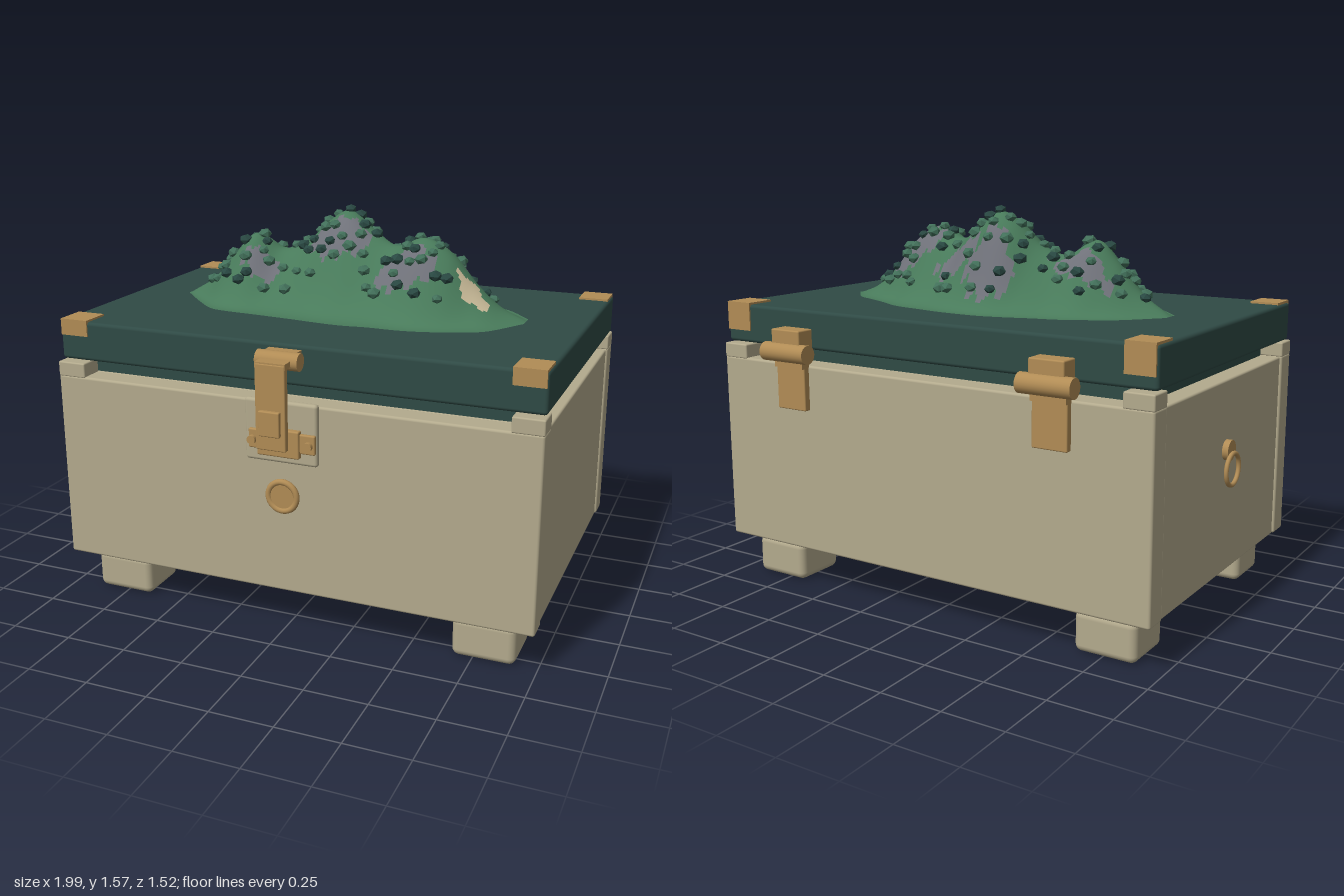
import * as THREE from 'three';
import { RoundedBoxGeometry } from 'three/addons/geometries/RoundedBoxGeometry.js';

const mat = (name, color) => {
  const m = new THREE.MeshStandardMaterial({ color });
  m.name = name;
  return m;
};

export function createModel() {
  const root = new THREE.Group();
  root.name = 'chest';
  const tan = mat('tanPaint', 0xb3aa8d);
  const teal = mat('darkTeal', 0x2f4a45);
  const brass = mat('brass', 0xb18c55);
  const grass = mat('grass', 0x487a5a);
  const rock = mat('rock', 0x6f7179);
  const sand = mat('sand', 0xc6b896);
  const leaf = mat('leaf', 0x42705a);
  const darkLeaf = mat('darkLeaf', 0x294842);

  const add = (name, geo, m, x = 0, y = 0, z = 0, parent = root) => {
    const mesh = new THREE.Mesh(geo, m);
    mesh.name = name;
    mesh.position.set(x, y, z);
    parent.add(mesh);
    return mesh;
  };
  // Box given by its limits on each axis, with optional rounded edges
  const box = (name, m, x0, x1, y0, y1, z0, z1, r = 0) => {
    const s = [x1 - x0, y1 - y0, z1 - z0];
    const geo = r ? new RoundedBoxGeometry(...s, 3, r) : new THREE.BoxGeometry(...s);
    return add(name, geo, m, (x0 + x1) / 2, (y0 + y1) / 2, (z0 + z1) / 2);
  };
  const rod = (name, m, r, len, axis, x, y, z, sides = 24) => {
    const geo = new THREE.CylinderGeometry(r, r, len, sides);
    if (axis === 'x') geo.rotateZ(Math.PI / 2);
    if (axis === 'z') geo.rotateX(Math.PI / 2);
    return add(name, geo, m, x, y, z);
  };

  // Body: front and back walls, inset core with side panels, bottom plate
  box('frontWall', tan, -0.967, 0.997, 0.18, 0.95, 0.534, 0.633, 0.01);
  box('backWall', tan, -0.967, 0.997, 0.18, 0.95, -0.678, -0.58, 0.01);
  box('sidePanels', tan, -0.96, 0.99, 0.18, 0.947, -0.578, 0.532, 0.008);
  box('bottomPlate', tan, -0.885, 0.915, 0.145, 0.19, -0.58, 0.534, 0.01);

  // Feet and corner blocks
  for (const [x0, x1] of [[-0.885, -0.635], [0.668, 0.915]])
    for (const [z0, z1] of [[0.344, 0.568], [-0.618, -0.393]])
      box('foot', tan, x0, x1, 0.005, 0.165, z0, z1, 0.028);
  for (const [x0, x1] of [[-0.967, -0.847], [0.877, 0.997]])
    for (const [z0, z1] of [[0.534, 0.633], [-0.678, -0.58]])
      box('cornerBlock', tan, x0, x1, 0.945, 1.005, z0, z1, 0.006);

  // Lid with an inner lip
  box('lidLip', teal, -0.88, 0.91, 0.94, 1.003, -0.563, 0.52, 0.006);
  box('lidCore', teal, -0.8, 0.83, 0.99, 1.03, -0.48, 0.44);
  box('lid', teal, -0.965, 0.995, 1.01, 1.167, -0.653, 0.603, 0.014);

  // Lid corner plates: one on top, one on the outer long face
  for (const [x0, x1] of [[-0.958, -0.84], [0.869, 0.989]]) {
    box('cornerTopPlate', brass, x0, x1, 1.163, 1.175, 0.483, 0.609);
    box('cornerFacePlate', brass, x0, x1, 1.11, 1.175, 0.6, 0.609);
    box('cornerTopPlate', brass, x0, x1, 1.163, 1.175, -0.659, -0.533);
    box('cornerFacePlate', brass, x0, x1, 1.06, 1.175, -0.659, -0.65);
  }

  // Front latch
  box('latchPlate', tan, -0.13, 0.163, 0.72, 0.962, 0.628, 0.658, 0.012);
  box('latchMount', brass, -0.05, 0.08, 1.09, 1.15, 0.6, 0.645);
  rod('latchBarrel', brass, 0.034, 0.17, 'x', 0.015, 1.12, 0.658);
  box('latchArm', brass, -0.045, 0.075, 1.108, 1.13, 0.66, 0.74);
  box('latchStrap', brass, -0.045, 0.075, 0.797, 1.125, 0.715, 0.742, 0.005);
  box('latchTab', brass, -0.026, 0.058, 0.855, 0.952, 0.74, 0.76, 0.005);
  box('latchKeeper', brass, -0.07, 0.1, 0.752, 0.86, 0.655, 0.683, 0.006);
  box('keeperEars', brass, -0.11, 0.16, 0.772, 0.848, 0.655, 0.672, 0.006);
  for (const x of [-0.093, 0.135]) rod('keeperBolt', brass, 0.017, 0.03, 'z', x, 0.807, 0.673, 16);

  // Round front lock
  rod('lockDisc', brass, 0.058, 0.03, 'z', 0.015, 0.582, 0.637, 32);
  add('lockRim', new THREE.TorusGeometry(0.058, 0.012, 12, 40), brass, 0.015, 0.582, 0.647);

  // Ring hanging from a stud on the right side
  rod('ringStud', brass, 0.04, 0.024, 'x', -0.972, 0.675, -0.027);
  const ring = add('sideRing', new THREE.TorusGeometry(0.062, 0.009, 10, 40), brass, -0.989, 0.602, -0.027);
  ring.rotation.y = Math.PI / 2;

  // Back hinges
  for (const x of [-0.58, 0.612]) {
    rod('hingeBarrel', brass, 0.038, 0.22, 'x', x, 1.003, -0.722);
    box('hingeUpperLeaf', brass, x - 0.072, x + 0.072, 1.005, 1.095, -0.73, -0.65, 0.006);
    box('hingeLowerLeaf', brass, x - 0.072, x + 0.072, 0.77, 0.96, -0.705, -0.675, 0.005);
    box('hingeKnuckle', brass, x - 0.072, x + 0.072, 0.94, 1.0, -0.715, -0.675);
  }

  // Mountain: height, ridge z, back edge z and front edge z along x
  const sections = [
    [-0.73, 0, -0.06, -0.1, -0.02], [-0.6, 0.085, -0.06, -0.25, 0.12],
    [-0.5, 0.2, -0.06, -0.31, 0.21], [-0.42, 0.275, -0.06, -0.35, 0.23],
    [-0.3, 0.215, -0.09, -0.38, 0.24], [-0.2, 0.25, -0.12, -0.41, 0.25],
    [-0.1, 0.345, -0.15, -0.43, 0.26], [-0.03, 0.38, -0.15, -0.43, 0.27],
    [0.1, 0.3, -0.12, -0.42, 0.28], [0.2, 0.26, -0.08, -0.4, 0.27],
    [0.34, 0.305, -0.04, -0.37, 0.27], [0.45, 0.25, -0.04, -0.31, 0.25],
    [0.55, 0.135, -0.045, -0.26, 0.21], [0.65, 0.045, -0.05, -0.21, 0.16],
    [0.755, 0, -0.05, -0.09, -0.01],
  ];
  const spline = new THREE.CubicInterpolant(sections.map(s => s[0]), sections.flatMap(s => s.slice(1)), 4);
  // t runs from -1 at the back edge to 1 at the front edge
  const surface = (x, t) => {
    const [h, ridge, back, front] = spline.evaluate(x);
    const z = t < 0 ? ridge + (ridge - back) * t : ridge + (front - ridge) * t;
    const ripple = 1 + 0.05 * Math.sin(x * 31 + z * 9) * Math.abs(t);
    return new THREE.Vector3(x, 1.169 + Math.max(0, h) * (1 - t * t) ** 3 * ripple, z);
  };
  // Ground patches as ellipses [x, z, rx, rz] with ragged edges
  const rocks = [[-0.05, -0.28, 0.1, 0.07], [0.41, -0.12, 0.13, 0.06], [-0.03, -0.05, 0.13, 0.06],
    [0.28, 0.05, 0.12, 0.05], [-0.4, -0.16, 0.13, 0.035], [0.14, -0.22, 0.1, 0.04], [-0.36, 0.03, 0.08, 0.04]];
  const inPatch = ([cx, cz, rx, rz], x, z) =>
    ((x - cx) / rx) ** 2 + ((z - cz) / rz) ** 2 + 0.35 * Math.sin(x * 90 + z * 25) < 1;
  const sandPatch = [0.545, 0.01, 0.06, 0.045];

  const NX = 120, NZ = 60, pos = [], faces = [[], [], []];
  for (let i = 0; i <= NX; i++)
    for (let j = 0; j <= NZ; j++)
      pos.push(...surface(-0.73 + 1.485 * i / NX, -1 + 2 * j / NZ).toArray());
  for (let i = 0; i < NX; i++)
    for (let j = 0; j < NZ; j++) {
      const a = i * (NZ + 1) + j, b = a + NZ + 1;
      const x = pos[a * 3], z = pos[a * 3 + 2];
      const k = inPatch(sandPatch, x, z) ? 2 : rocks.some(r => inPatch(r, x, z)) ? 1 : 0;
      faces[k].push(a, a + 1, b, b, a + 1, b + 1);
    }
  const land = new THREE.BufferGeometry();
  land.setAttribute('position', new THREE.Float32BufferAttribute(pos, 3));
  land.setIndex(faces.flat());
  let start = 0;
  faces.forEach((f, k) => { land.addGroup(start, f.length, k); start += f.length; });
  land.computeVertexNormals();
  add('mountain', land, [grass, rock, sand]);

  // Bushes scattered over the slopes
  let seed = 11;
  const rand = () => (seed = (seed * 16807) % 2147483647) / 2147483647;
  const bushes = new THREE.Group();
  bushes.name = 'bushes';
  root.add(bushes);
  const bushGeo = new THREE.IcosahedronGeometry(1, 0);
  const flatLeaf = [leaf, darkLeaf];
  flatLeaf.forEach(m => { m.flatShading = true; });
  const placed = [];
  for (let n = 0; n < 900 && placed.length < 105; n++) {
    const p = surface(-0.63 + 1.25 * rand(), -0.62 + 1.2 * rand());
    if (p.y < 1.215 || placed.some(q => q.distanceTo(p) < 0.045)) continue;
    if (Math.hypot(p.x - 0.545, p.z - 0.01) < 0.085) continue;
    placed.push(p);
    const r = 0.023 + 0.008 * rand();
    const bush = add('bush', bushGeo, flatLeaf[rand() < 0.3 ? 1 : 0], p.x, p.y + 0.006, p.z, bushes);
    bush.scale.set(r, r * 0.8, r);
    bush.rotation.y = rand() * 6.28;
  }
  return root;
}
